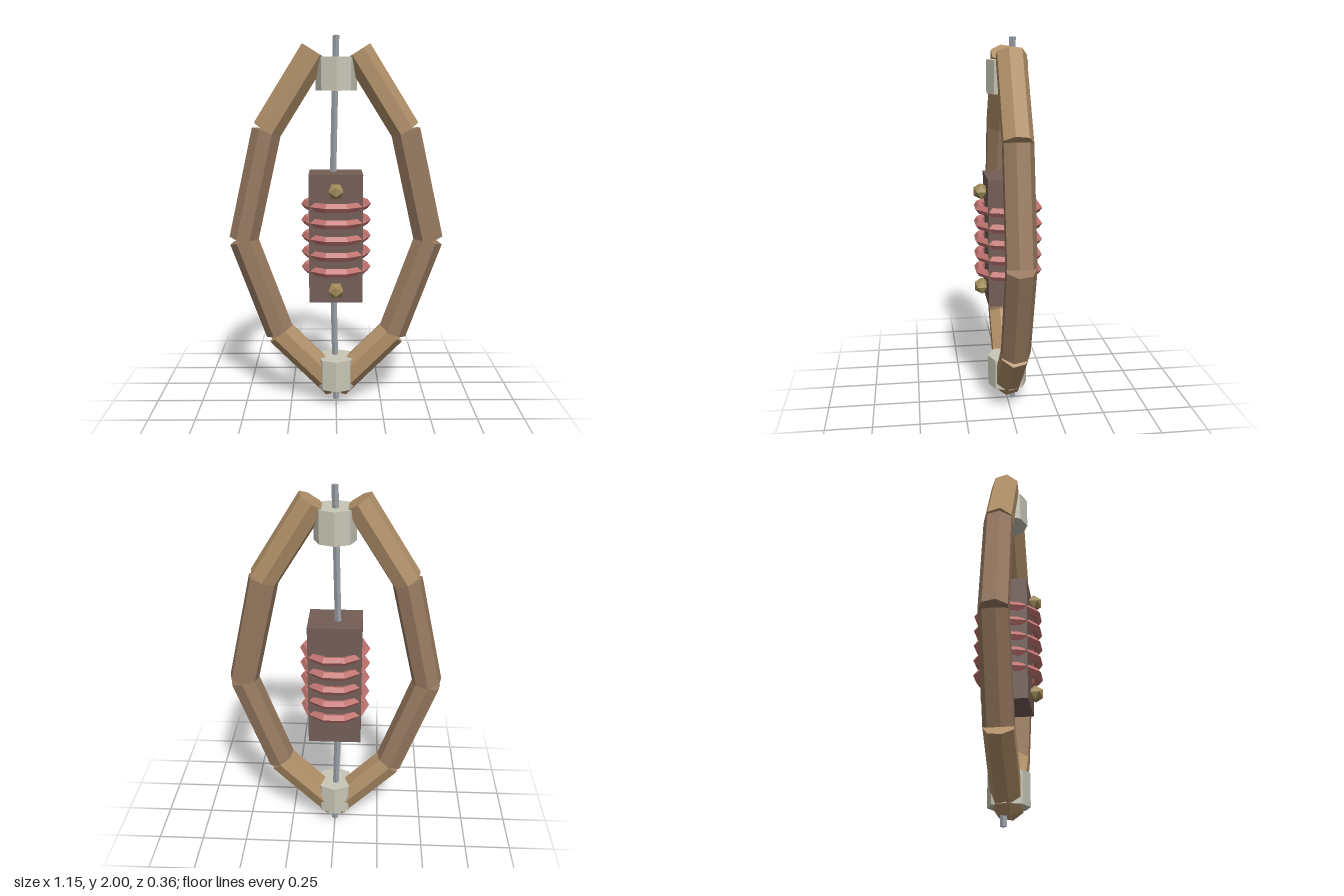
import * as THREE from 'three';

const mat = (color) => new THREE.MeshStandardMaterial({ color, flatShading: true });
const lightWood = mat(0xb08f68), darkWood = mat(0x987a60), stone = mat(0xc8c6b6);
const metal = mat(0xa0a6ac), coreBrown = mat(0x735d56), coilRed = mat(0xc27572), brass = mat(0xa08a58);

export function createModel() {
  const model = new THREE.Group();

  const add = (name, geometry, material, x, y, z) => {
    const mesh = new THREE.Mesh(geometry, material);
    mesh.name = name;
    mesh.position.set(x, y, z);
    model.add(mesh);
    return mesh;
  };

  // Straight prism between two points in a plane of constant z
  const beam = (name, [x0, y0], [x1, y1], z, radius, sides, thetaStart, material) => {
    const length = Math.hypot(x1 - x0, y1 - y0);
    const geometry = new THREE.CylinderGeometry(radius, radius, length, sides, 1, false, thetaStart);
    const mesh = add(name, geometry, material, (x0 + x1) / 2, (y0 + y1) / 2, z);
    mesh.rotation.z = -Math.atan2(x1 - x0, y1 - y0);
  };

  // Frame: four seven-sided beams on each side
  const joints = [[0.11, 1.915], [0.365, 1.51], [0.497, 0.926], [0.308, 0.405], [0, 0.095]];
  for (const [side, s] of [['left', 1], ['right', -1]]) {
    for (let i = 0; i < 4; i++) {
      const [a, b] = [joints[i + 1], joints[i]].map(([x, y]) => [s * x, y]);
      const material = i === 0 || i === 3 ? lightWood : darkWood;
      beam(`${side}FrameBeam${i + 1}`, a, b, -0.004, 0.08, 7, Math.PI, material);
    }
  }

  // Collars where the frame meets the rod
  const collar = new THREE.CylinderGeometry(0.108, 0.108, 0.17, 8);
  add('topCollar', collar, stone, 0, 1.802, 0);
  add('bottomCollar', collar, stone, 0, 0.177, 0);

  // Slightly bent central rod
  beam('lowerRod', [0, 0], [-0.022, 1], -0.027, 0.017, 4, 0, metal);
  beam('upperRod', [-0.022, 1], [0, 2], -0.027, 0.017, 4, 0, metal);

  // Core block with its coils and studs
  add('coreBlock', new THREE.BoxGeometry(0.283, 0.685, 0.24), coreBrown, -0.002, 0.947, -0.004);
  const ring = new THREE.TorusGeometry(0.162, 0.025, 5, 10).rotateX(Math.PI / 2);
  for (let i = 0; i < 5; i++) {
    add(`coilRing${i + 1}`, ring, coilRed, 0, 0.775 + i * 0.0863, -0.003);
  }
  const stud = new THREE.IcosahedronGeometry(0.045, 0);
  add('topStud', stud, brass, -0.002, 1.205, 0.14);
  add('bottomStud', stud, brass, -0.002, 0.677, 0.14);

  return model;
}
